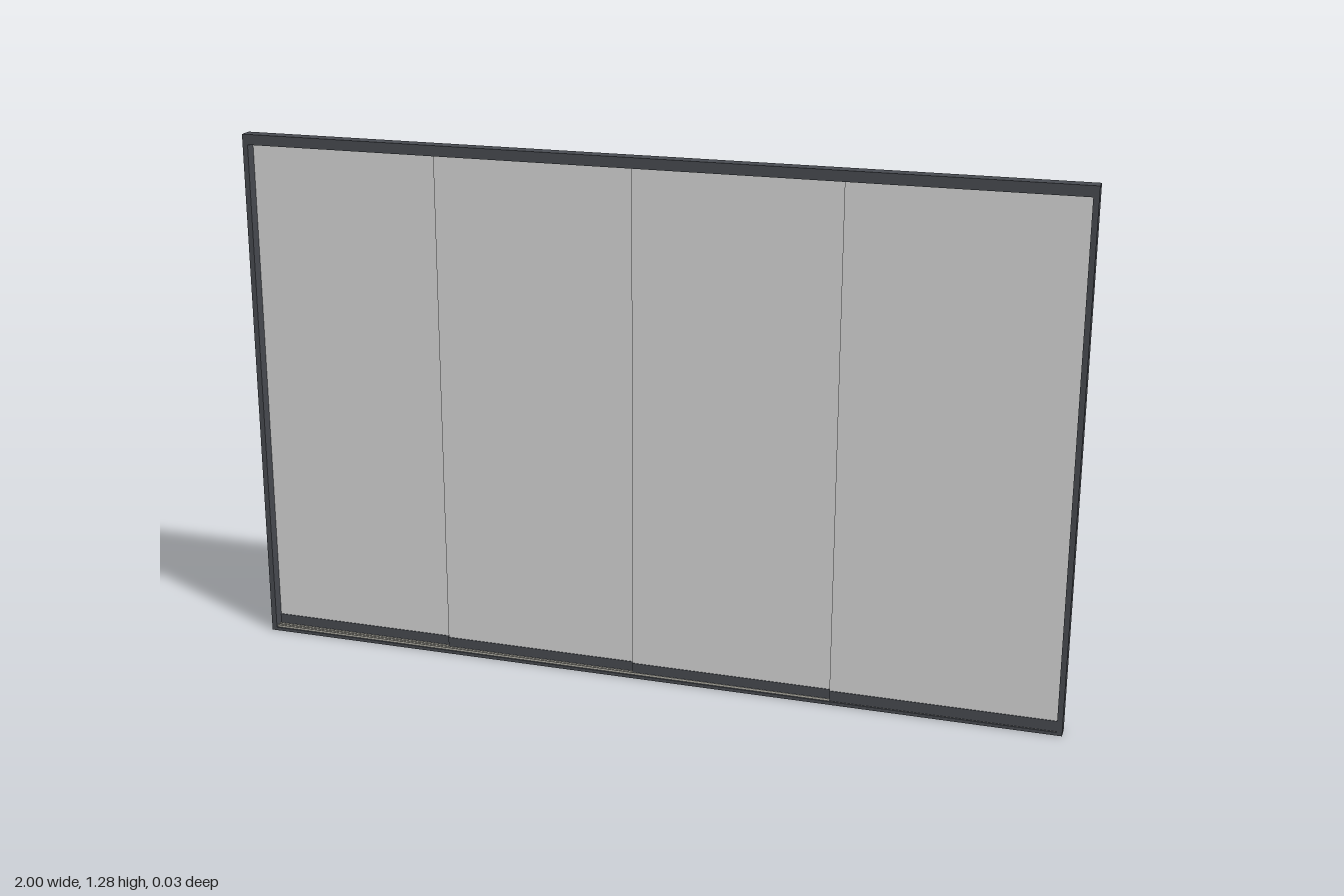
import * as THREE from 'three';

export function createModel() {
  const frameMat = new THREE.MeshStandardMaterial({ color: 0x474a50 });
  frameMat.name = 'anthracite frame';
  const glassMat = new THREE.MeshStandardMaterial({ color: 0xd5d5d5 });
  glassMat.name = 'pale grey glass';
  const railMat = new THREE.MeshStandardMaterial({ color: 0xb8b6ac });
  railMat.name = 'bare metal runner';

  const model = new THREE.Group();
  model.name = 'slidingGlassWall';

  // Box given by its minimum and maximum corners
  function box(parent, name, mat, x0, x1, y0, y1, z0, z1) {
    const mesh = new THREE.Mesh(new THREE.BoxGeometry(x1 - x0, y1 - y0, z1 - z0), mat);
    mesh.position.set((x0 + x1) / 2, (y0 + y1) / 2, (z0 + z1) / 2);
    mesh.name = name;
    parent.add(mesh);
  }

  const H = 1.277, D = 0.017, post = 0.013, pitch = 0.008;

  // Outer frame
  const frame = new THREE.Group();
  frame.name = 'outerFrame';
  model.add(frame);
  box(frame, 'leftPost', frameMat, 1 - post, 1, 0, H, -D, D);
  box(frame, 'rightPost', frameMat, -1, -1 + post, 0, H, -D, D);
  box(frame, 'topTrack', frameMat, -1 + post, 1 - post, 1.262, H, -D, D);
  box(frame, 'bottomTrack', frameMat, -1 + post, 1 - post, 0, 0.008, -D, D);

  // Ribs separating the four top channels
  for (let i = 0; i < 5; i++) {
    const z = (i - 2) * pitch;
    box(frame, 'topRib', frameMat, -1 + post, 1 - post, 1.252, 1.262, z - 0.001, z + 0.001);
  }

  // Four overlapping panels, each one channel further forward
  const starts = [-0.987, -0.52, -0.035, 0.455];
  const ends = [-0.45, 0.035, 0.52, 0.987];
  starts.forEach((x0, i) => {
    const x1 = ends[i], z = (i - 1.5) * pitch;
    // Thin runner on the floor track
    box(frame, 'runner', railMat, -1 + post, 1 - post, 0.008, 0.013, z - 0.0008, z + 0.0008);
    const panel = new THREE.Group();
    panel.name = 'slidingPanel' + (i + 1);
    panel.position.z = z;
    model.add(panel);
    box(panel, 'glass', glassMat, x0, x1, 0.034, 1.256, -0.0015, 0.0015);
    box(panel, 'bottomRail', frameMat, x0, x1, 0.0095, 0.035, -0.003, 0.003);
    box(panel, 'topRail', frameMat, x0, x1, 1.252, 1.262, -0.0028, 0.0028);
  });

  return model;
}
